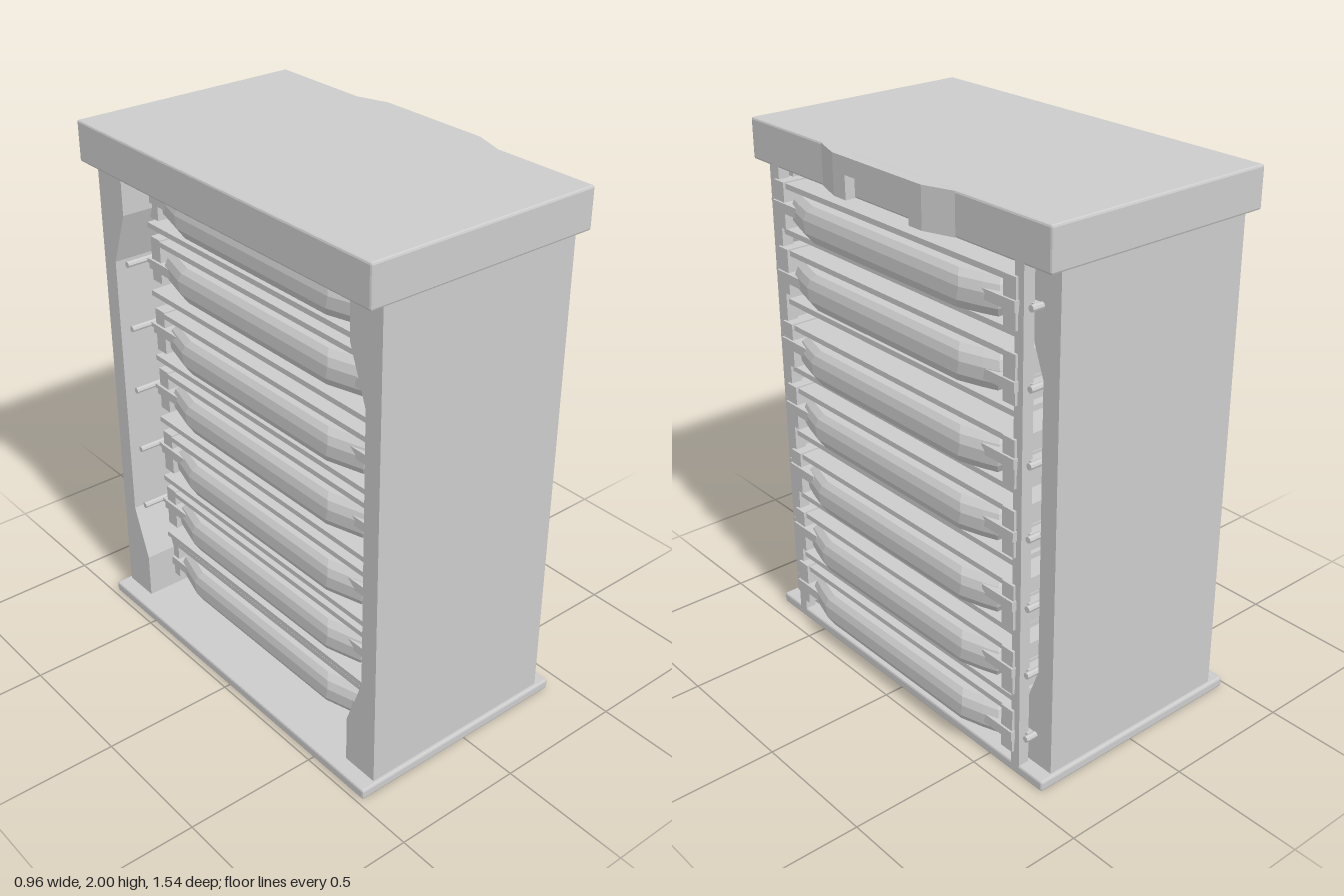
import * as THREE from 'three';
import { ConvexGeometry } from 'three/addons/geometries/ConvexGeometry.js';
import { RoundedBoxGeometry } from 'three/addons/geometries/RoundedBoxGeometry.js';

const material = new THREE.MeshStandardMaterial({ color: 0xcccccc, flatShading: true });

function add(parent, name, geometry) {
  const mesh = new THREE.Mesh(geometry, material);
  mesh.name = name;
  parent.add(mesh);
  return mesh;
}

// box given by its limits on each axis
function box(parent, name, x0, x1, y0, y1, z0, z1, radius = 0) {
  const size = [x1 - x0, y1 - y0, z1 - z0];
  const geometry = radius ? new RoundedBoxGeometry(...size, 1, radius) : new THREE.BoxGeometry(...size);
  const mesh = add(parent, name, geometry);
  mesh.position.set((x0 + x1) / 2, (y0 + y1) / 2, (z0 + z1) / 2);
  return mesh;
}

// floor-plan outline of [x, z] points raised from y0 to y1
function plan(points, y0, y1) {
  const shape = new THREE.Shape(points.map(([x, z]) => new THREE.Vector2(x, -z)));
  return new THREE.ExtrudeGeometry(shape, { depth: y1 - y0, bevelEnabled: false })
    .rotateX(-Math.PI / 2).translate(0, y0, 0);
}

// end wall with a shallow recess on its inner face, profile of [z, y] points
function wallGeometry(side) {
  const profile = [[0.755, 0.03], [0.755, 1.86], [0.61, 1.86], [0.61, 1.68],
    [0.685, 1.48], [0.685, 0.42], [0.61, 0.22], [0.61, 0.03]];
  const shape = new THREE.Shape(profile.map(([z, y]) => new THREE.Vector2(-z * side, y)));
  return new THREE.ExtrudeGeometry(shape, { depth: 0.795, bevelEnabled: false })
    .rotateY(Math.PI / 2).translate(-0.42, 0, 0);
}

// shallow tray with bevelled grip edges
function trayGeometry() {
  const points = [];
  for (const [y, inset, trim] of [[-0.08, 0.02, 0.03], [-0.045, 0, 0.01], [0, 0, 0], [0.03, 0.008, 0.01], [0.05, 0.025, 0.025]]) {
    for (const s of [-1, 1]) {
      for (const [x, z] of [[0.43, 0.55], [0.45, 0.495], [0.475, 0.41], [-0.3, 0.55], [-0.34, 0.41]]) {
        points.push(new THREE.Vector3(x - Math.sign(x) * inset, y, s * (z - trim)));
      }
    }
  }
  return new ConvexGeometry(points);
}

export function createModel() {
  const model = new THREE.Group();
  model.name = 'trayRack';

  // base and lid
  box(model, 'base', -0.48, 0.43, 0, 0.04, -0.77, 0.77, 0.008);
  const lid = new THREE.Group();
  lid.name = 'lid';
  model.add(lid);
  box(lid, 'lidSlab', -0.48, 0.43, 1.85, 2, -0.77, 0.77, 0.008);
  add(lid, 'lidGripTop', plan([[0.42, -0.345], [0.43, -0.345], [0.468, -0.23],
    [0.468, 0.23], [0.43, 0.345], [0.42, 0.345]], 1.937, 1.998));
  for (const s of [-1, 1]) {
    add(lid, 'lidGripSide', plan([[0.42, s * 0.345], [0.43, s * 0.345],
      [0.468, s * 0.23], [0.468, s * 0.165], [0.42, s * 0.165]], 1.852, 1.937));
  }

  // end walls and front posts
  for (const s of [-1, 1]) {
    add(model, 'endWall', wallGeometry(s));
    const post = box(model, 'post', 0.387, 0.43, 0.03, 1.86, -0.02, 0.02);
    post.position.z = s * 0.635;
  }

  // trays with their side channels and slide rods
  const trayHeights = [0.175, 0.415, 0.67, 0.945, 1.195, 1.48, 1.725];
  const trayShape = trayGeometry();
  const rodShape = new THREE.CylinderGeometry(0.012, 0.012, 0.8, 8).rotateZ(Math.PI / 2);
  trayHeights.forEach((y, i) => {
    const unit = new THREE.Group();
    unit.name = 'trayUnit';
    model.add(unit);
    add(unit, 'tray', trayShape).position.y = y;
    box(unit, 'trayCover', -0.3, 0.43, y + 0.06, y + 0.08, -0.59, 0.59);
    const rodY = 0.16 + i * 0.26;
    for (const s of [-1, 1]) {
      const channel = box(unit, 'channel', -0.3, 0.44, y - 0.085, y + 0.085, -0.028, 0.028);
      channel.position.z = s * 0.603;
      const arm = box(unit, 'arm', -0.31, 0.448, rodY - 0.018, rodY + 0.018, -0.075, 0.075);
      arm.position.z = s * 0.56;
      add(unit, 'slideRod', rodShape).position.set(0.02, rodY, s * 0.675);
      const link = box(unit, 'rodLink', -0.3, 0.4, rodY - 0.008, rodY + 0.008, -0.025, 0.025);
      link.position.z = s * 0.65;
    }
  });

  // thin shelves between the trays
  for (let i = 0; i < 6; i++) {
    const y = 0.292 + i * 0.2656;
    box(model, 'shelf', -0.32, 0.42, y - 0.01, y + 0.01, -0.615, 0.615);
  }
  return model;
}
